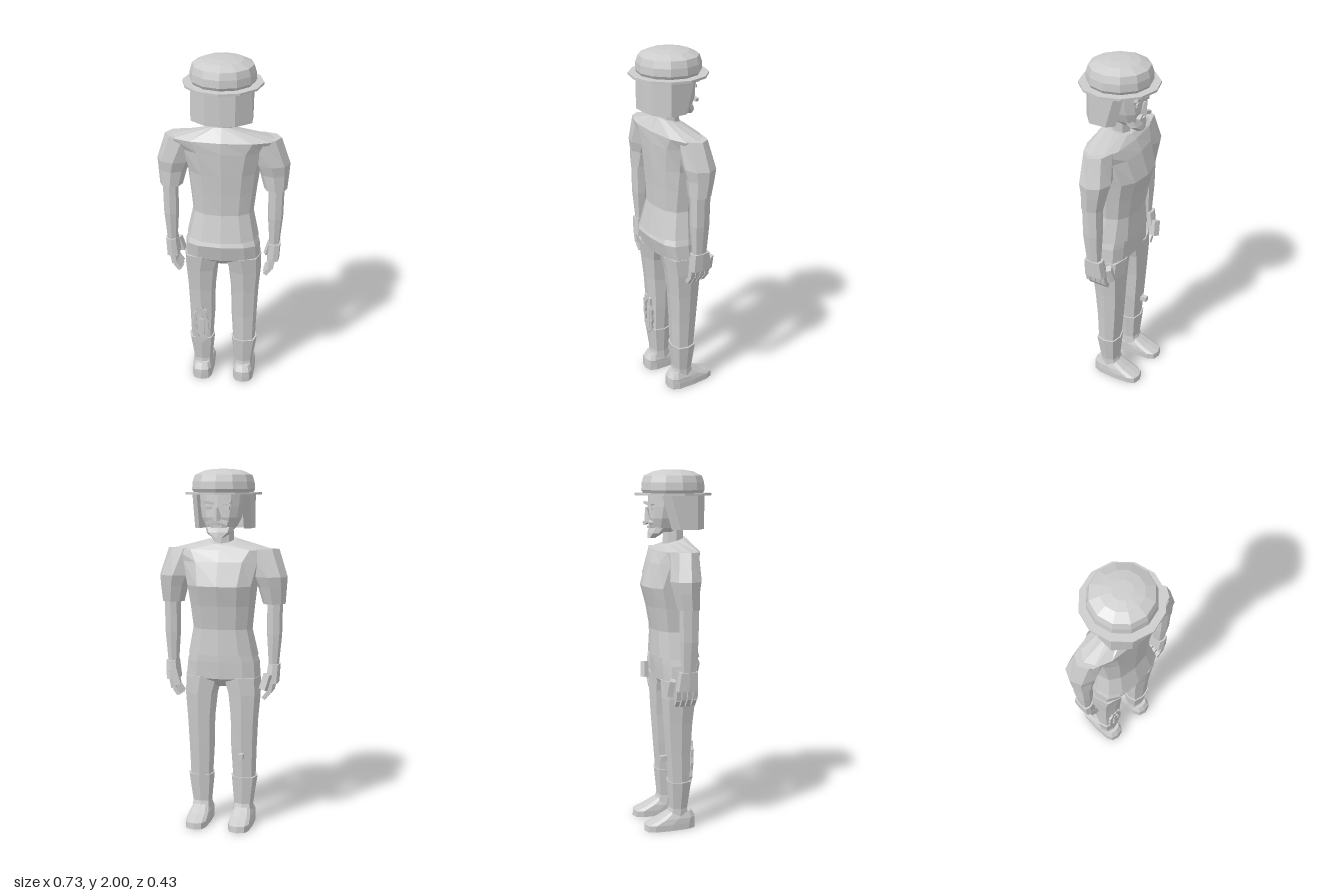
import * as THREE from 'three';

const grey = new THREE.MeshStandardMaterial({ color: 0xcccccc, flatShading: true, side: THREE.DoubleSide });
grey.name = 'plain grey';

// Horizontal cross-section; pow < 1 squares it off, tilt raises the back (+z)
function ring(y, x0, x1, z0, z1, { n = 12, pow = 0.8, tilt = 0 } = {}) {
  const pts = [];
  const soft = (v) => Math.sign(v) * Math.pow(Math.abs(v), pow);
  for (let i = 0; i < n; i++) {
    const a = (i / n) * Math.PI * 2;
    const c = Math.abs(Math.cos(a)) < 1e-6 ? 0 : Math.cos(a);
    const s = Math.abs(Math.sin(a)) < 1e-6 ? 0 : Math.sin(a);
    pts.push([(x0 + x1) / 2 + (x1 - x0) / 2 * soft(c), y + tilt * s, (z0 + z1) / 2 + (z1 - z0) / 2 * soft(s)]);
  }
  return pts;
}

// Skin between rings listed from bottom to top, capped at both ends
function loft(rings) {
  const n = rings[0].length, pos = rings.flat(2), idx = [], last = rings.length - 1;
  for (let i = 0; i < last; i++) {
    for (let j = 0; j < n; j++) {
      const k = (j + 1) % n, a = i * n + j, b = i * n + k, d = a + n, c = b + n;
      idx.push(a, d, c, a, c, b);
    }
  }
  for (let j = 1; j < n - 1; j++) {
    idx.push(0, j, j + 1, last * n, last * n + j + 1, last * n + j);
  }
  const g = new THREE.BufferGeometry();
  g.setAttribute('position', new THREE.Float32BufferAttribute(pos, 3));
  g.setIndex(idx);
  const flat = g.toNonIndexed();
  flat.computeVertexNormals();
  return flat;
}

function add(parent, name, geometry, pos = [0, 0, 0], rot = [0, 0, 0]) {
  const m = new THREE.Mesh(geometry, grey);
  m.name = name;
  m.position.set(...pos);
  m.rotation.set(...rot);
  parent.add(m);
  return m;
}
const box = (w, h, d) => new THREE.BoxGeometry(w, h, d);

// Loft for one side of the body; rows are [y, inner x, outer x, front z, back z]
function limb(s, rows, opts) {
  return loft(rows.map(([y, a, b, z0, z1]) => ring(y, s > 0 ? a : -b, s > 0 ? b : -a, z0, z1, opts)));
}
// Loft centred on x = 0; rows are [y, half width, front z, back z, tilt]
function body(rows, opts) {
  return loft(rows.map(([y, w, z0, z1, tilt = 0]) => ring(y, -w, w, z0, z1, { ...opts, tilt })));
}

function buildLeg(s) {
  const leg = new THREE.Group();
  leg.name = s > 0 ? 'leftLeg' : 'rightLeg';
  add(leg, 'trouserLeg', limb(s, [
    [0.26, 0.06, 0.19, -0.066, 0.055], [0.45, 0.048, 0.197, -0.082, 0.06],
    [0.62, 0.045, 0.205, -0.095, 0.072], [0.76, 0.03, 0.217, -0.103, 0.088],
    [0.86, 0.0, 0.218, -0.105, 0.105],
  ], { n: 8, pow: 0.7 }));
  add(leg, 'boot', limb(s, [
    [0.07, 0.06, 0.18, -0.075, 0.05], [0.12, 0.065, 0.178, -0.06, 0.043], [0.28, 0.05, 0.202, -0.075, 0.063],
  ], { n: 8, pow: 0.7 }));
  add(leg, 'foot', limb(s, [
    [0, 0.06, 0.188, -0.208, 0.09], [0.035, 0.06, 0.188, -0.205, 0.09],
    [0.065, 0.062, 0.184, -0.13, 0.088], [0.1, 0.075, 0.17, -0.065, 0.065],
  ], { n: 12, pow: 0.6 }));
  return leg;
}

function buildArm(s) {
  const arm = new THREE.Group();
  arm.name = s > 0 ? 'leftArm' : 'rightArm';
  add(arm, 'sleeve', limb(s, [
    [1.27, 0.225, 0.352, -0.065, 0.06], [1.36, 0.2, 0.36, -0.085, 0.062],
    [1.42, 0.17, 0.364, -0.1, 0.075], [1.57, 0.1, 0.315, -0.075, 0.075],
  ], { n: 8, pow: 1 }));
  add(arm, 'forearm', limb(s, [
    [0.92, 0.262, 0.318, -0.045, 0.035], [1.1, 0.25, 0.335, -0.055, 0.05], [1.3, 0.25, 0.338, -0.058, 0.052],
  ], { n: 8, pow: 0.7 }));
  add(arm, 'hand', limb(s, [
    [0.83, 0.25, 0.32, -0.075, 0.05], [0.935, 0.262, 0.326, -0.06, 0.045],
  ], { n: 8, pow: 0.45 }));
  // Fingers curl in toward the thigh
  for (let i = 0; i < 4; i++) {
    const z = -0.058 + i * 0.031, len = i % 3 ? 0.055 : 0.046;
    add(arm, 'fingerBase', box(0.028, 0.06, 0.026), [s * 0.28, 0.81, z], [0, 0, -s * 0.2]);
    add(arm, 'fingerTip', box(0.023, len, 0.023), [s * 0.257, 0.762, z], [0, 0, -s * 0.65]);
  }
  add(arm, 'thumb', box(0.04, 0.09, 0.03), [s * 0.26, 0.845, -0.09], [0.2, s * 0.35, -s * 0.3]);
  return arm;
}

function buildHead() {
  const head = new THREE.Group();
  head.name = 'head';
  add(head, 'neck', new THREE.CylinderGeometry(0.055, 0.062, 0.16, 8), [0, 1.65, 0.002]);
  add(head, 'face', body([
    [1.665, 0.06, -0.115, -0.01], [1.69, 0.085, -0.13, 0.05], [1.74, 0.108, -0.14, 0.09],
    [1.8, 0.12, -0.135, 0.1], [1.87, 0.125, -0.13, 0.1],
  ], { n: 12 }));
  add(head, 'goatee', body([
    [1.632, 0.03, -0.142, -0.105], [1.66, 0.07, -0.138, -0.065], [1.69, 0.08, -0.128, -0.03],
  ], { n: 8 }));
  add(head, 'nose', new THREE.CylinderGeometry(0.008, 0.026, 0.07, 4), [0, 1.76, -0.143], [-0.2, 0, 0]);
  add(head, 'mouth', box(0.05, 0.012, 0.016), [0, 1.692, -0.132]);
  for (const s of [1, -1]) {
    add(head, 'eye', box(0.036, 0.016, 0.01), [s * 0.048, 1.79, -0.13], [0, s * 0.25, 0]);
    add(head, 'eyebrow', box(0.055, 0.014, 0.02), [s * 0.05, 1.818, -0.129], [0, s * 0.25, s * 0.15]);
    add(head, 'moustache', box(0.062, 0.018, 0.022), [s * 0.032, 1.718, -0.137], [0, s * 0.2, -s * 0.25]);
  }
  // Bobbed hair, open over the face, its front edge slanting back toward the neck
  const plan = [[0.125, -0.1], [0.16, -0.06], [0.162, 0.09], [0.08, 0.155], [0, 0.162]];
  const inner = [[0.06, 0.09], [0.11, 0.05]];
  const half = [...inner, ...plan];
  const outline = [...half, ...half.slice(0, -1).reverse().map(([x, z]) => [-x, z])];
  const hair = new THREE.ExtrudeGeometry(new THREE.Shape(outline.map((p) => new THREE.Vector2(...p))),
    { depth: 0.19, steps: 1, bevelEnabled: false });
  hair.rotateX(Math.PI / 2).translate(0, 1.87, 0);
  const p = hair.attributes.position;
  for (let i = 0; i < p.count; i++) {
    if (p.getZ(i) < 0 && p.getY(i) < 1.75) p.setZ(i, p.getZ(i) + 0.055);
  }
  hair.computeVertexNormals();
  add(head, 'hair', hair);
  return head;
}

function buildHat() {
  const hat = new THREE.Group();
  hat.name = 'hat';
  add(hat, 'brim', new THREE.CylinderGeometry(0.214, 0.214, 0.012, 12), [0, 1.868, 0]);
  const profile = [[0.165, 1.87], [0.177, 1.89], [0.174, 1.93], [0.162, 1.967], [0.11, 1.99], [0.055, 1.999], [0, 2]];
  add(hat, 'crown', new THREE.LatheGeometry(profile.map((q) => new THREE.Vector2(...q)), 12));
  return hat;
}

// Ragged tear around the back of one calf, with a strip inside and a chip at the front
function buildTear() {
  const tear = new THREE.Group();
  tear.name = 'trouserTear';
  const edge = (rx, ry, wob) => Array.from({ length: 22 }, (_, i) => {
    const a = (i / 22) * Math.PI * 2, k = 1 + wob * (i % 2 ? 1 : -1) + 0.05 * Math.sin(i * 5);
    return new THREE.Vector2(rx * k * Math.cos(a), ry * k * Math.sin(a));
  });
  const shape = new THREE.Shape(edge(0.046, 0.13, 0.08));
  shape.holes.push(new THREE.Path(edge(0.027, 0.09, 0.1)));
  const rim = new THREE.ExtrudeGeometry(shape, { depth: 0.014, bevelEnabled: false });
  add(tear, 'raggedRim', rim, [-0.125, 0.38, 0.053], [0.04, 0, 0]);
  add(tear, 'innerStrip', box(0.026, 0.14, 0.012), [-0.12, 0.35, 0.06]);
  add(tear, 'frontChip', box(0.026, 0.03, 0.045), [-0.125, 0.412, -0.092]);
  return tear;
}

export function createModel() {
  const model = new THREE.Group();
  model.name = 'manInHat';
  add(model, 'hips', body([
    [0.8, 0.035, -0.05, 0.05], [0.85, 0.215, -0.105, 0.105], [0.945, 0.208, -0.11, 0.128], [1.0, 0.19, -0.11, 0.105],
  ], { n: 12, pow: 0.7 }));
  add(model, 'shirt', body([
    [0.98, 0.202, -0.128, 0.135, -0.005], [1.13, 0.17, -0.122, 0.098], [1.26, 0.185, -0.145, 0.103],
    [1.37, 0.2, -0.174, 0.11], [1.5, 0.235, -0.132, 0.115], [1.565, 0.3, -0.1, 0.114],
    [1.615, 0.075, -0.075, 0.068, 0.022],
  ], { n: 12, pow: 0.85 }));
  for (const s of [1, -1]) model.add(buildLeg(s), buildArm(s));
  model.add(buildHead(), buildHat(), buildTear());
  return model;
}
